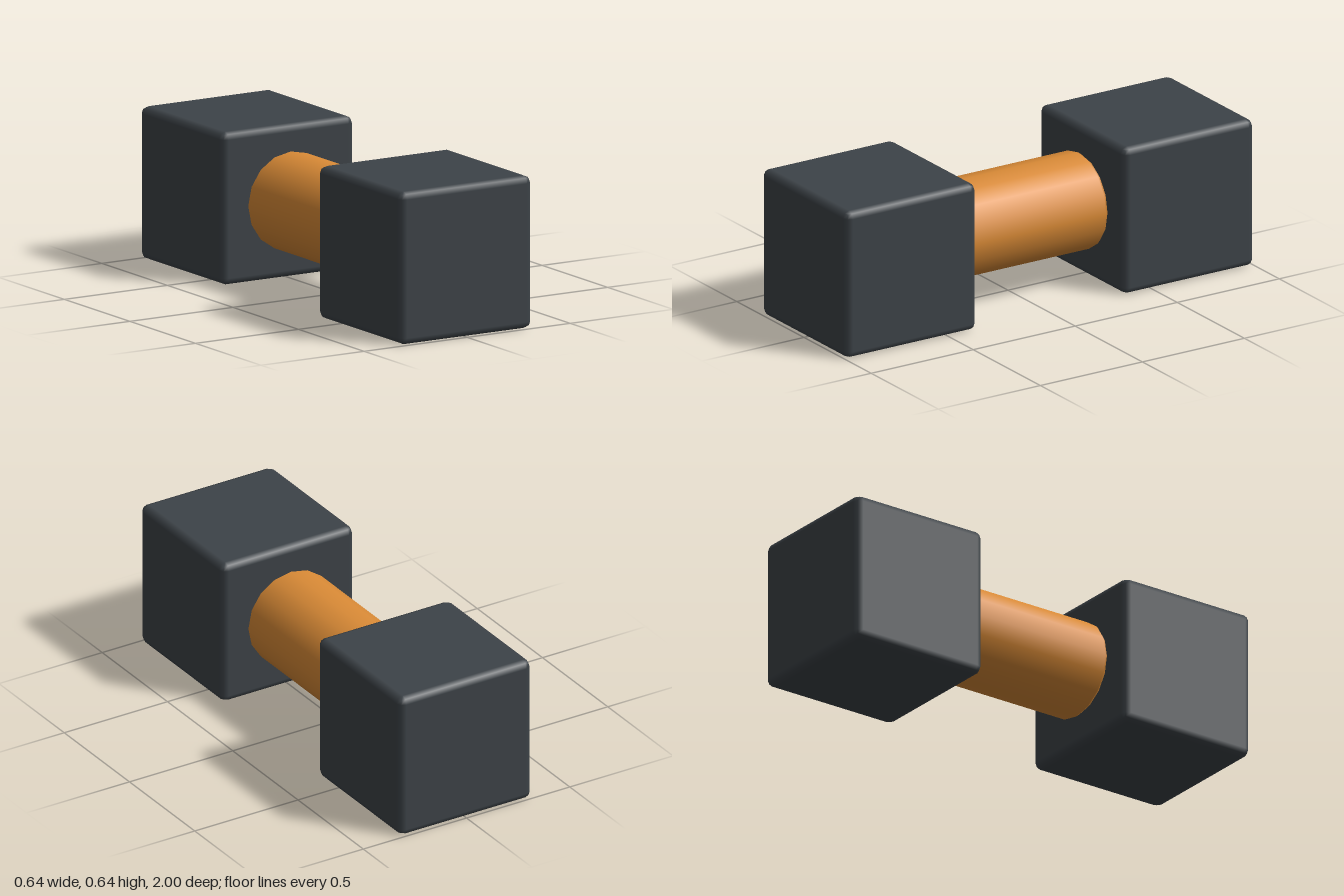
import * as THREE from 'three';
import { RoundedBoxGeometry } from 'three/addons/geometries/RoundedBoxGeometry.js';

export function createModel() {
  const model = new THREE.Group();
  model.name = 'dumbbell';

  const charcoal = new THREE.MeshStandardMaterial({ color: 0x3d4348 });
  charcoal.name = 'charcoal';
  const orange = new THREE.MeshStandardMaterial({ color: 0xd98a36 });
  orange.name = 'orange';

  const size = 0.64;
  const centreY = size / 2;

  // Bevelled cube weights, one at each end
  const weightGeometry = new RoundedBoxGeometry(size, size, size, 1, 0.03);
  for (const [name, side] of [['frontWeight', 1], ['backWeight', -1]]) {
    const weight = new THREE.Mesh(weightGeometry, charcoal);
    weight.name = name;
    weight.position.set(0, centreY, side * (1 - size / 2));
    model.add(weight);
  }

  // Round handle with slightly bevelled ends, lying along z
  const profile = [
    [0, -0.365], [0.19, -0.365], [0.206, -0.345],
    [0.206, 0.345], [0.19, 0.365], [0, 0.365],
  ].map(([r, y]) => new THREE.Vector2(r, y));
  const handle = new THREE.Mesh(new THREE.LatheGeometry(profile, 16), orange);
  handle.name = 'handle';
  handle.rotation.x = Math.PI / 2;
  handle.position.y = centreY + 0.005;
  model.add(handle);

  return model;
}
